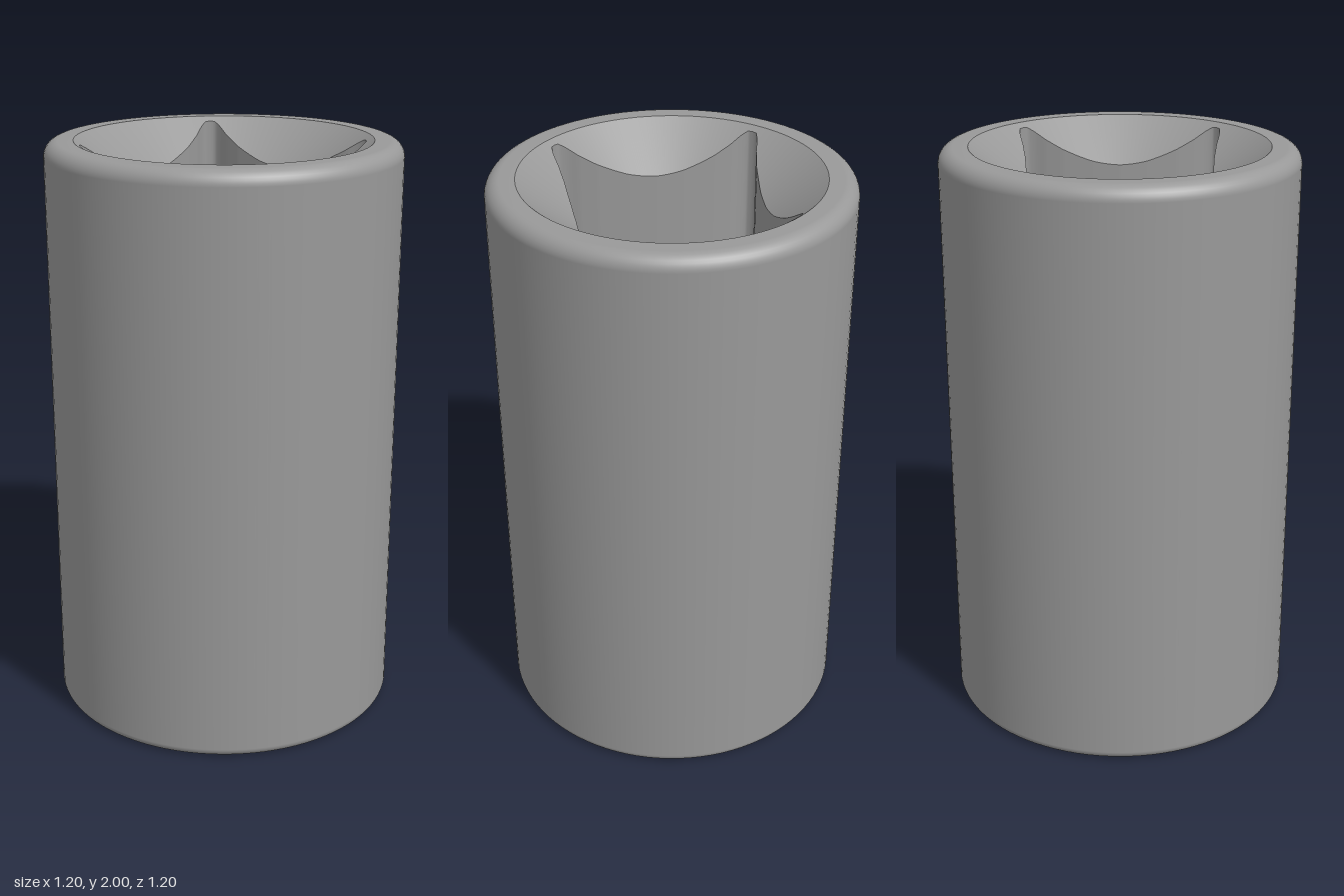
import * as THREE from 'three';

const SEG = 360, HEIGHT = 2, RADIUS = 0.6;
const MOUTH = 0.5, SLOPE = 0.75;        // conical lead-in at the top
const LIP = 0.57;                       // where the curved lead-in at the bottom begins
const STEP = 0.49;                      // height where the hexagonal bore meets the square one

// Square drive outline: slightly bowed sides with relieved, rounded corners.
// Pairs are [tangent of angle, half width] over one eighth of the outline.
const DRIVE = [[0, 0.312], [0.3, 0.315], [0.62, 0.325], [0.78, 0.336], [0.86, 0.347], [0.93, 0.35], [1, 0.339]];
function driveRadius(a) {
  const c = Math.abs(Math.cos(a)), s = Math.abs(Math.sin(a));
  const t = Math.min(c, s) / Math.max(c, s);
  let i = 1;
  while (i < DRIVE.length - 1 && t > DRIVE[i][0]) i++;
  const [t0, w0] = DRIVE[i - 1], [t1, w1] = DRIVE[i];
  return THREE.MathUtils.lerp(w0, w1, (t - t0) / (t1 - t0)) * Math.hypot(1, t);
}

// Hexagon outline with flats facing +x and -x and rounded corners
function hexRadius(a) {
  const apothem = 0.38, round = 0.05, sixth = Math.PI / 3;
  const alpha = Math.abs(a - Math.round(a / sixth) * sixth);
  const beta = sixth / 2 - alpha;
  const r = apothem / Math.cos(alpha);
  const c = (apothem - round) / Math.cos(sixth / 2);
  if (r * Math.sin(beta) >= round / 2) return r;
  return c * Math.cos(beta) + Math.sqrt(round * round - (c * Math.sin(beta)) ** 2);
}

// Smooth surface through rings listed from top to bottom, facing the axis.
// Each ring maps an angle to [radius, height].
function bore(...rings) {
  const pos = [], index = [], n = rings.length;
  for (let i = 0; i < SEG; i++) {
    const a = (i / SEG) * Math.PI * 2;
    for (const ring of rings) {
      const [r, y] = ring(a);
      pos.push(r * Math.cos(a), y, r * Math.sin(a));
    }
    for (let k = 0; k < n - 1; k++) {
      const p = n * i + k, q = n * ((i + 1) % SEG) + k;
      index.push(p, p + 1, q, q, p + 1, q + 1);
    }
  }
  const geo = new THREE.BufferGeometry();
  geo.setAttribute('position', new THREE.Float32BufferAttribute(pos, 3));
  geo.setIndex(index);
  geo.computeVertexNormals();
  return geo;
}

export function createModel() {
  const group = new THREE.Group();
  group.name = 'socket';
  const material = new THREE.MeshStandardMaterial({ color: 0x999999 });
  const add = (name, geometry) => {
    const mesh = new THREE.Mesh(geometry, material);
    mesh.name = name;
    group.add(mesh);
  };

  // Outer sleeve: small fillet below, larger fillet and flat rim above
  const profile = [];
  for (const [f, cy, start] of [[RADIUS - LIP, RADIUS - LIP, -Math.PI / 2], [0.05, HEIGHT - 0.05, 0]]) {
    for (let i = 0; i <= 8; i++) {
      const a = start + (i / 8) * Math.PI / 2;
      profile.push(new THREE.Vector2(RADIUS - f + f * Math.cos(a), cy + f * Math.sin(a)));
    }
  }
  profile.push(new THREE.Vector2(MOUTH, HEIGHT));
  add('outerSleeve', new THREE.LatheGeometry(profile, 96));

  // Square bore with its conical lead-in
  const topRim = () => [MOUTH, HEIGHT];
  const driveTop = (a) => [driveRadius(a), HEIGHT - (MOUTH - driveRadius(a)) * SLOPE];
  const driveEnd = (a) => [driveRadius(a), STEP];
  add('driveLeadIn', bore(topRim, driveTop));
  add('squareDriveWall', bore(driveTop, driveEnd));

  // Step where the square bore meets the hexagonal bore
  const hexEnd = (a) => [hexRadius(a), STEP];
  const step = bore(driveEnd, hexEnd).toNonIndexed();
  step.computeVertexNormals();
  add('innerStep', step);

  // Hexagonal bore, its mouth curving smoothly out to the bottom lip
  const lipRings = Array.from({ length: 9 }, (_, k) => (a) => {
    const r = THREE.MathUtils.lerp(hexRadius(a), LIP, k / 8);
    return [r, 2.2 * (LIP - r) ** 2];
  });
  add('hexWall', bore(hexEnd, lipRings[0]));
  add('hexLeadIn', bore(...lipRings));

  return group;
}
